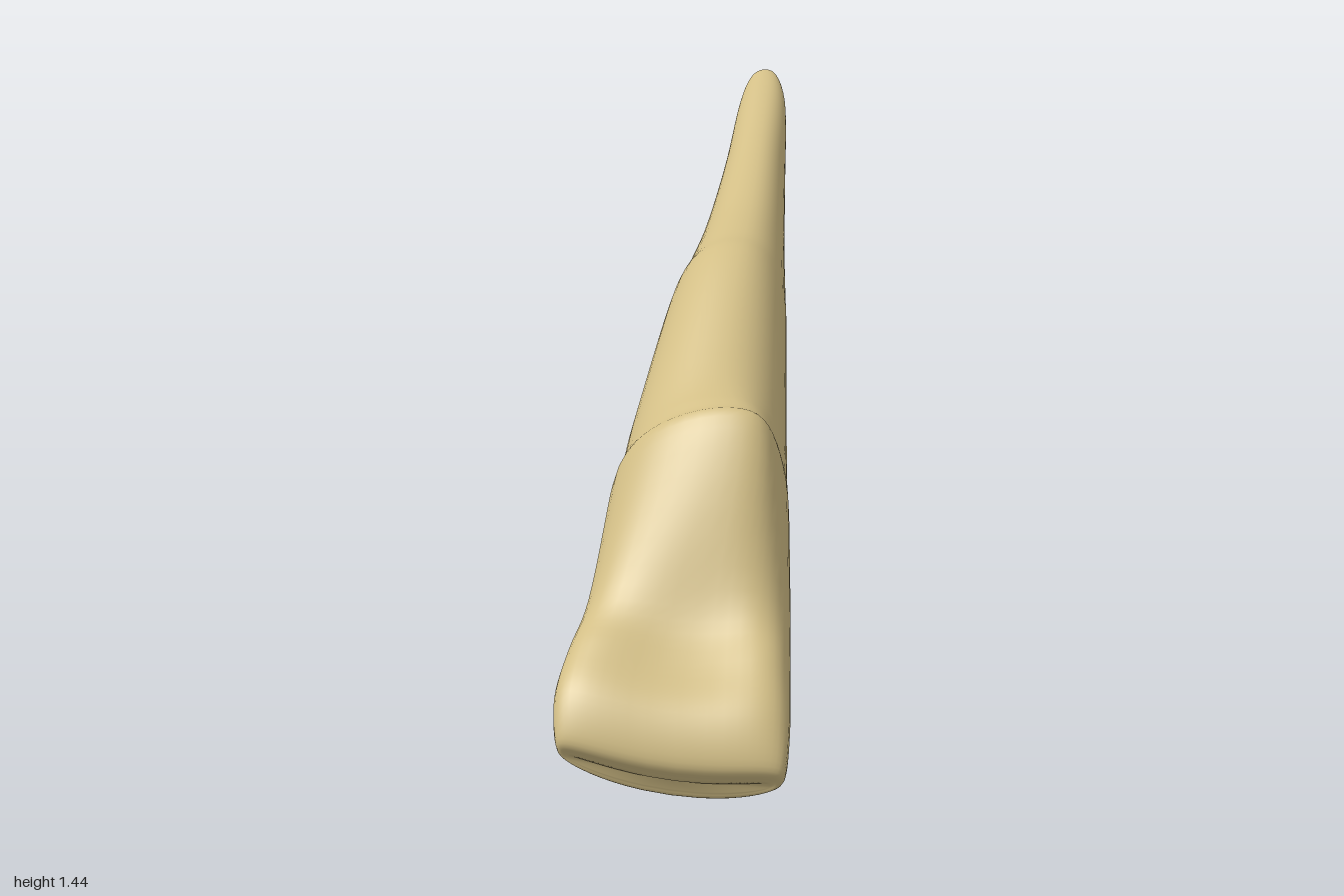
import * as THREE from 'three';

// Cross-sections from biting edge to root tip: top z, top y, bottom z, bottom y, x min, x max
const SECTIONS = [
  [0.965, 0.05, 0.95, 0.025, -0.215, 0.205],
  [0.99, 0.10, 0.93, 0.006, -0.24, 0.235],
  [0.955, 0.20, 0.84, 0.03, -0.25, 0.243],
  [0.87, 0.30, 0.70, 0.09, -0.235, 0.24],
  [0.76, 0.42, 0.55, 0.17, -0.21, 0.235],
  [0.60, 0.73, 0.39, 0.26, -0.18, 0.225],
  [0.53, 0.77, 0.32, 0.33, -0.16, 0.218],
  [0.42, 0.82, 0.22, 0.45, -0.145, 0.212],
  [0.10, 1.04, -0.02, 0.655, -0.09, 0.2],
  [-0.08, 1.085, -0.18, 0.775, -0.058, 0.19],
  [-0.35, 1.15, -0.40, 0.88, -0.03, 0.178],
  [-0.65, 1.275, -0.67, 1.045, 0.002, 0.168],
  [-0.88, 1.405, -0.88, 1.26, 0.03, 0.16],
  [-0.96, 1.447, -0.965, 1.365, 0.055, 0.138],
  [-0.99, 1.435, -0.995, 1.395, 0.078, 0.115],
];

const track = (z, y, x) => new THREE.CatmullRomCurve3(
  SECTIONS.map((s) => new THREE.Vector3(s[x], s[y], s[z])), false, 'catmullrom');
const bump = (z, centre, spread) => Math.exp(-(((z - centre) / spread) ** 2));
const rounded = (value, power) => Math.sign(value) * Math.abs(value) ** power;

// Skin smooth rings through the sections and close both ends
function loftTooth(rows, sides) {
  const upper = track(0, 1, 4), lower = track(2, 3, 5);
  const pos = [], index = [];
  for (let i = 0; i <= rows; i++) {
    const T = upper.getPoint(i / rows), B = lower.getPoint(i / rows);
    const cx = (T.x + B.x) / 2, hw = (B.x - T.x) / 2;
    const crown = THREE.MathUtils.smoothstep(T.z, 0.6, 0.97);
    const power = 2 / (2.15 + 0.85 * crown);        // squarer towards the biting edge
    const hollow = 0.28 * bump(T.z, 0.85, 0.1);     // shallow hollow behind the edge
    const crest = hw * (0.07 + 0.3 * bump(T.z, 0.6, 0.12)); // off-centre ridge
    for (let j = 0; j < sides; j++) {
      const a = (j / sides) * Math.PI * 2;
      const u = rounded(Math.cos(a), power);
      let v = rounded(Math.sin(a), power);
      const x = cx + hw * u + crest * Math.max(v, 0) * (1 - u * u);
      if (v > 0) v *= 1 - hollow * (1 - u * u) ** 2;
      const k = (v + 1) / 2;
      const lift = 0.07 * crown * ((x - 0.09) / 0.33) ** 2; // curved biting edge
      pos.push(x, B.y + (T.y - B.y) * k + lift, B.z + (T.z - B.z) * k);
    }
  }
  for (let i = 0; i < rows; i++) {
    for (let j = 0; j < sides; j++) {
      const n = (j + 1) % sides;
      const a = i * sides + j, b = a + sides, c = i * sides + n, d = c + sides;
      index.push(a, b, c, b, d, c);
    }
  }
  // End caps
  for (const row of [0, rows]) {
    const mid = new THREE.Vector3(), start = row * sides, centre = pos.length / 3;
    for (let j = 0; j < sides; j++) {
      mid.add(new THREE.Vector3().fromArray(pos, (start + j) * 3));
    }
    mid.divideScalar(sides);
    pos.push(mid.x, mid.y, mid.z + (row ? -0.004 : 0.004));
    for (let j = 0; j < sides; j++) {
      const a = start + j, b = start + ((j + 1) % sides);
      if (row) index.push(centre, b, a);
      else index.push(centre, a, b);
    }
  }
  const geo = new THREE.BufferGeometry();
  geo.setAttribute('position', new THREE.Float32BufferAttribute(pos, 3));
  geo.setIndex(index);
  geo.computeVertexNormals();
  return geo;
}

export function createModel() {
  const group = new THREE.Group();
  group.name = 'tooth';
  const ivory = new THREE.MeshStandardMaterial({ color: 0xd2be86 });
  ivory.name = 'ivory';
  const tooth = new THREE.Mesh(loftTooth(84, 48), ivory);
  tooth.name = 'crownAndRoot';
  group.add(tooth);
  return group;
}
